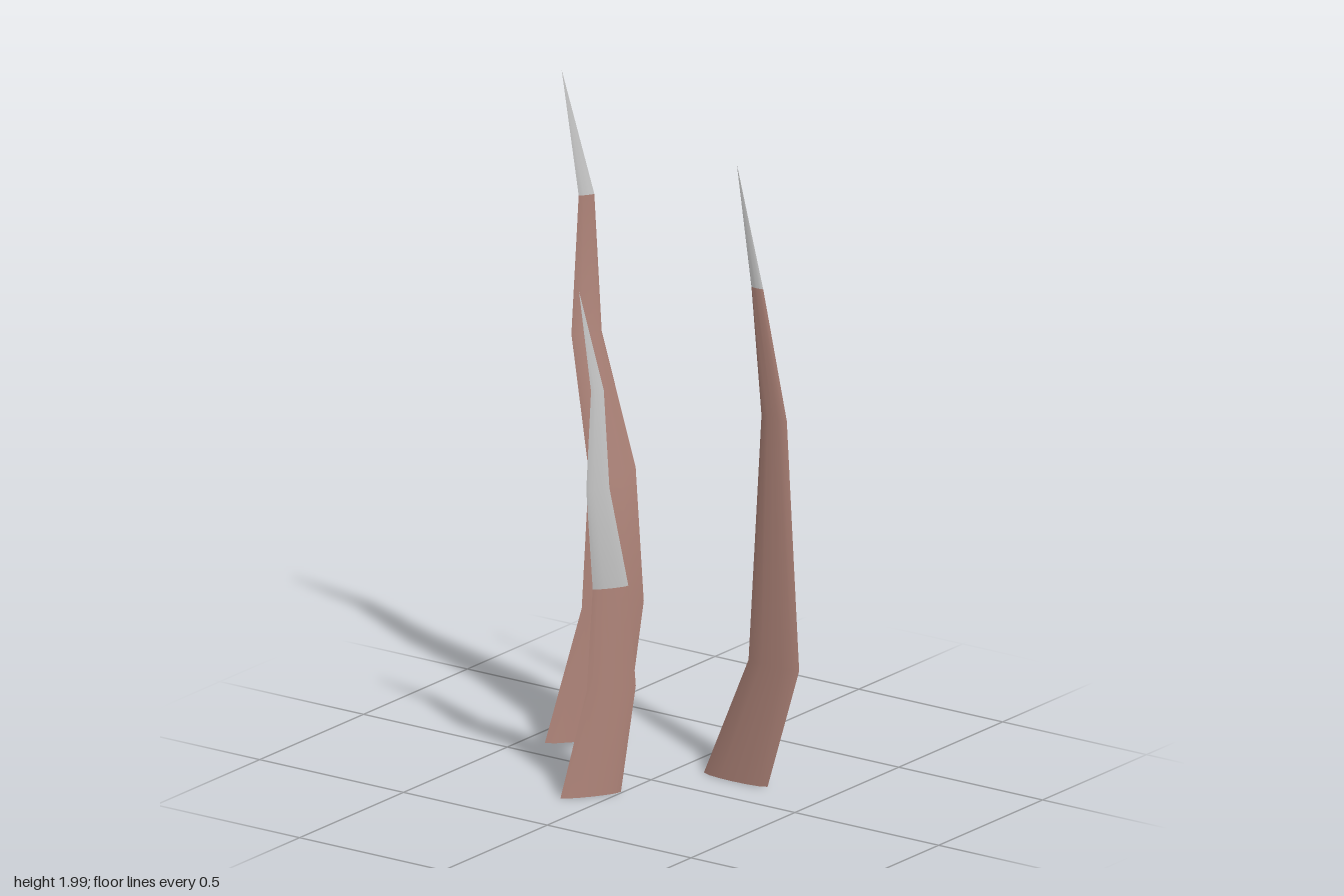
import * as THREE from 'three';
import { toCreasedNormals } from 'three/addons/utils/BufferGeometryUtils.js';

// Lens-shaped cross-section: u runs along the width, v across the thickness
const half = [[-1, 0], [-0.78, 0.62], [-0.4, 0.92], [0, 1], [0.4, 0.92], [0.78, 0.62]];
const lens = [...half, ...half.map(([u, v]) => [-u, -v])];
const THICKNESS = 0.16; // thickness relative to width

// Each station: [y, outer edge x, z, inner edge x, z]; the last one is the point
const spikes = [
  {
    name: 'tallSpike', split: 4,
    stations: [
      [0.02, -0.4, -0.042, -0.26, -0.24],
      [0.41, -0.335, -0.13, -0.23, -0.283],
      [0.81, -0.325, -0.15, -0.243, -0.262],
      [1.2, -0.4, -0.17, -0.348, -0.244],
      [1.61, -0.387, -0.187, -0.36, -0.225],
      [1.99, -0.416, -0.145, -0.416, -0.145],
    ],
  },
  {
    name: 'shortSpike', split: 2,
    stations: [
      [0, -0.11, 0.284, -0.006, 0.137],
      [0.31, -0.065, 0.22, 0.019, 0.1],
      [0.61, -0.055, 0.205, 0.006, 0.118],
      [0.92, -0.042, 0.254, -0.002, 0.198],
      [1.21, -0.037, 0.238, -0.015, 0.207],
      [1.515, -0.056, 0.27, -0.056, 0.27],
    ],
  },
  {
    name: 'broadSpike', split: 3,
    stations: [
      [0, 0.082, -0.141, 0.303, -0.141],
      [0.365, 0.237, -0.141, 0.413, -0.141],
      [1.1, 0.282, -0.141, 0.37, -0.141],
      [1.475, 0.247, -0.141, 0.288, -0.141],
      [1.83, 0.196, -0.141, 0.196, -0.141],
    ],
  },
];

// Ring of points for one station
function ring([y, ax, az, bx, bz]) {
  const dx = (bx - ax) / 2, dz = (bz - az) / 2;
  return lens.map(([u, v]) => new THREE.Vector3(
    (ax + bx) / 2 + dx * u + dz * v * THICKNESS,
    y,
    (az + bz) / 2 + dz * u - dx * v * THICKNESS,
  ));
}

// Skin the rings; optionally close the bottom
function loft(stations, capped) {
  const rings = stations.map(ring);
  const pos = [];
  const tri = (...pts) => {
    const area = new THREE.Triangle(...pts).getArea();
    if (area > 1e-9) pts.forEach((p) => pos.push(p.x, p.y, p.z));
  };
  const n = lens.length;
  for (let r = 0; r < rings.length - 1; r++) {
    for (let i = 0; i < n; i++) {
      const j = (i + 1) % n;
      const a = rings[r][i], b = rings[r][j], c = rings[r + 1][j], d = rings[r + 1][i];
      tri(a, c, b);
      tri(a, d, c);
    }
  }
  if (capped) {
    for (let i = 1; i < n - 1; i++) tri(rings[0][0], rings[0][i], rings[0][i + 1]);
  }
  const geo = new THREE.BufferGeometry();
  geo.setAttribute('position', new THREE.Float32BufferAttribute(pos, 3));
  return toCreasedNormals(geo, 0.6);
}

export function createModel() {
  const model = new THREE.Group();
  model.name = 'spikes';
  const brown = new THREE.MeshStandardMaterial({ color: 0xaf8479, side: THREE.DoubleSide });
  const grey = new THREE.MeshStandardMaterial({ color: 0xcccccc, side: THREE.DoubleSide });

  for (const { name, split, stations } of spikes) {
    const spike = new THREE.Group();
    spike.name = name;
    // Brown shaft below, grey tip above
    const shaft = new THREE.Mesh(loft(stations.slice(0, split + 1), true), brown);
    shaft.name = 'shaft';
    const tip = new THREE.Mesh(loft(stations.slice(split), false), grey);
    tip.name = 'tip';
    spike.add(shaft, tip);
    model.add(spike);
  }
  return model;
}
